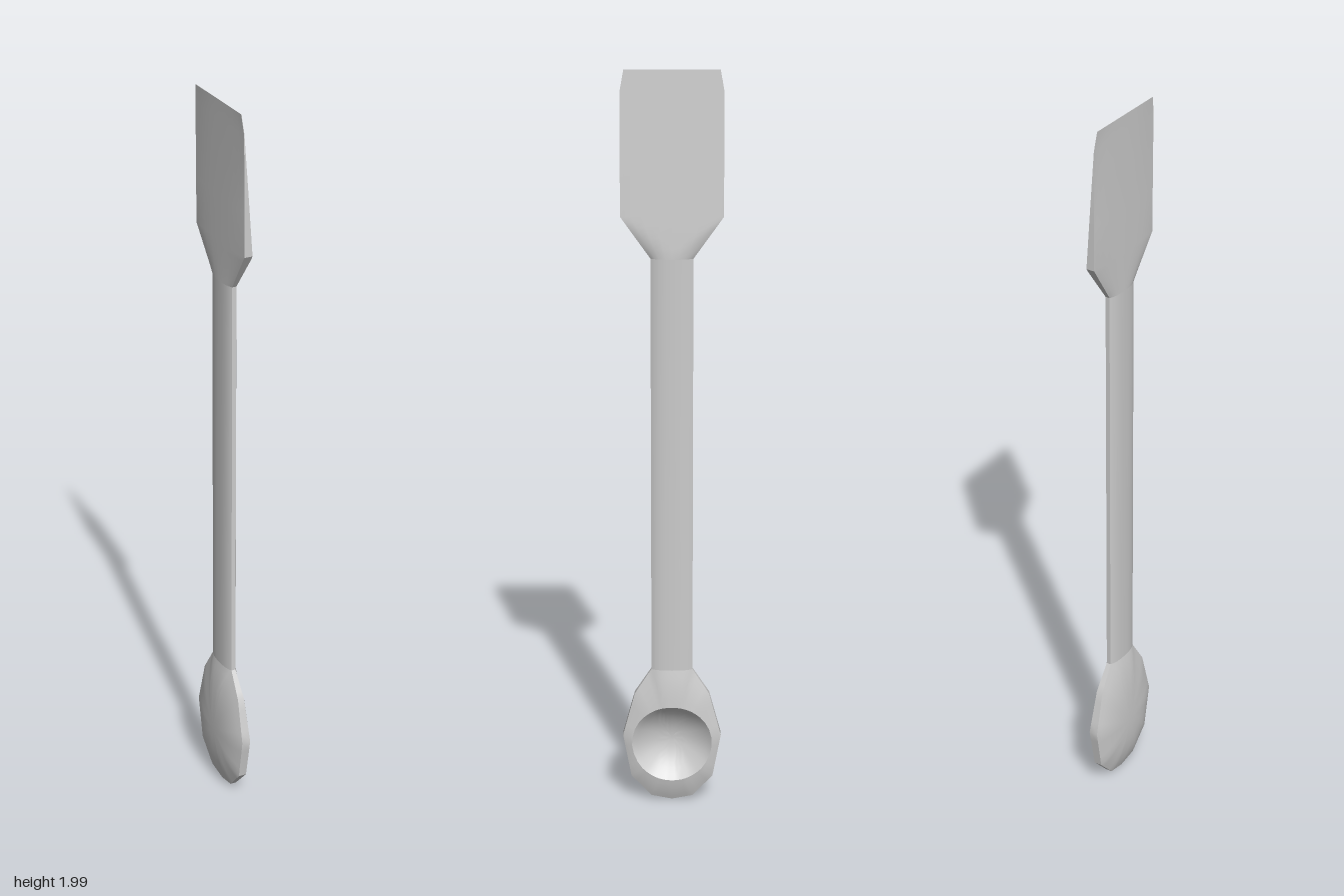
import * as THREE from 'three';
import { mergeVertices, toCreasedNormals } from 'three/addons/utils/BufferGeometryUtils.js';

const material = new THREE.MeshStandardMaterial({ color: 0xcccccc });
const lerp = THREE.MathUtils.lerp;

// Skin a list of closed rings (each a list of [x, y, z]) into one mesh
function skin(name, rings) {
  const n = rings[0].length;
  const index = [];
  for (let j = 0; j < rings.length - 1; j++) {
    for (let i = 0; i < n; i++) {
      const k = (i + 1) % n;
      const a = j * n + i, b = j * n + k, c = b + n, d = a + n;
      index.push(a, b, c, a, c, d);
    }
  }
  const geometry = new THREE.BufferGeometry();
  geometry.setAttribute('position', new THREE.Float32BufferAttribute(rings.flat(2), 3));
  geometry.setIndex(index);
  const mesh = new THREE.Mesh(toCreasedNormals(mergeVertices(geometry, 1e-5), 0.5), material);
  mesh.name = name;
  return mesh;
}

// Flattened oval section: thick in the middle, thin along the edges
const STEPS = [1, 0.93, 0.8, 0.6, 0.3, 0, -0.3, -0.6, -0.8, -0.93, -1];
const thickness = (t, centre, edge) => edge + (centre - edge) * (1 - Math.abs(t) ** 3);
const SHAFT_W = 0.055, EDGE = 0.006, FRONT = 0.018, BACK = 0.016;

// One section at height y; the front is planed off towards the blade tip
function section(y, w, edge) {
  const bevel = lerp(FRONT, -0.016, (y - 1.53) / 0.47);
  const frontX = t => Math.min(thickness(t, FRONT, edge), bevel);
  const backX = t => Math.min(-thickness(t, BACK, edge), frontX(t) - 0.001);
  return [
    ...STEPS.map(t => [frontX(t), y, w * t]),
    ...STEPS.map(t => [backX(-t), y, -w * t]),
  ];
}

function makeBlade() {
  const rings = [];
  // flaring neck
  for (let i = 0; i <= 8; i++) {
    const f = i / 8;
    rings.push(section(lerp(1.52, 1.63, f), lerp(SHAFT_W, 0.132, f), lerp(EDGE, 0.012, f)));
  }
  // flat blade with slightly clipped tip corners
  for (const [y, w] of [[1.75, 0.132], [1.95, 0.131], [2, 0.122]]) rings.push(section(y, w, 0.012));
  rings.push(rings.at(-1).map(() => [-0.0165, 2, 0]));
  return skin('blade', rings);
}

function makeSpoonHead() {
  const CY = 0.18, RIM = 0.108, TOP = 0.39;
  // outline of the head: [z, y, front edge x, back edge x]
  const outline = STEPS.map(t => [SHAFT_W * t, TOP, thickness(t, FRONT, EDGE), -thickness(t, BACK, EDGE)]);
  const side = [[0.055, TOP, EDGE], [0.1, 0.32, 0.009], [0.132, 0.2, 0.012],
    [0.11, 0.08, 0.011], [0.055, 0.02, 0.008], [0, 0.008, 0.006]];
  const half = [];
  for (let i = 0; i < side.length - 1; i++) {
    for (let k = 1; k <= 4; k++) {
      const [z, y, e] = side[i].map((v, m) => lerp(v, side[i + 1][m], k / 4));
      half.push([z, y, e, -e]);
    }
  }
  outline.push(...half.map(([z, y, e, b]) => [-z, y, e, b]));
  outline.push(...half.slice(0, -1).reverse());

  // domed faces fading from the crown to the outline
  const dome = (s, edge, crown) => edge + (crown - edge) * (1 - s ** 2.8);
  const point = (p, s, x) => [x, CY + (p[1] - CY) * s, p[0] * s];
  const rimS = p => RIM / Math.hypot(p[0], p[1] - CY);

  const rings = [];
  // hollow bowl
  for (let r = 0; r <= 8; r++) {
    rings.push(outline.map(p => {
      const f = r / 8;
      const rimX = dome(rimS(p), p[2], 0.034);
      return point(p, rimS(p) * f, lerp(-0.022, rimX, f * f));
    }));
  }
  // front face from rim to outline
  for (let r = 1; r <= 5; r++) {
    rings.push(outline.map(p => {
      const s = lerp(rimS(p), 1, r / 5);
      return point(p, s, dome(s, p[2], 0.034));
    }));
  }
  // rounded back
  for (const s of [1, 0.9, 0.78, 0.62, 0.42, 0.2, 0]) {
    rings.push(outline.map(p => point(p, s, dome(s, p[3], -0.035))));
  }
  return skin('spoonHead', rings);
}

export function createModel() {
  const group = new THREE.Group();
  group.name = 'doubleEndedSpatula';
  group.add(
    skin('handle', [section(0.39, SHAFT_W, EDGE), section(1.52, SHAFT_W, EDGE)]),
    makeBlade(),
    makeSpoonHead(),
  );
  return group;
}
